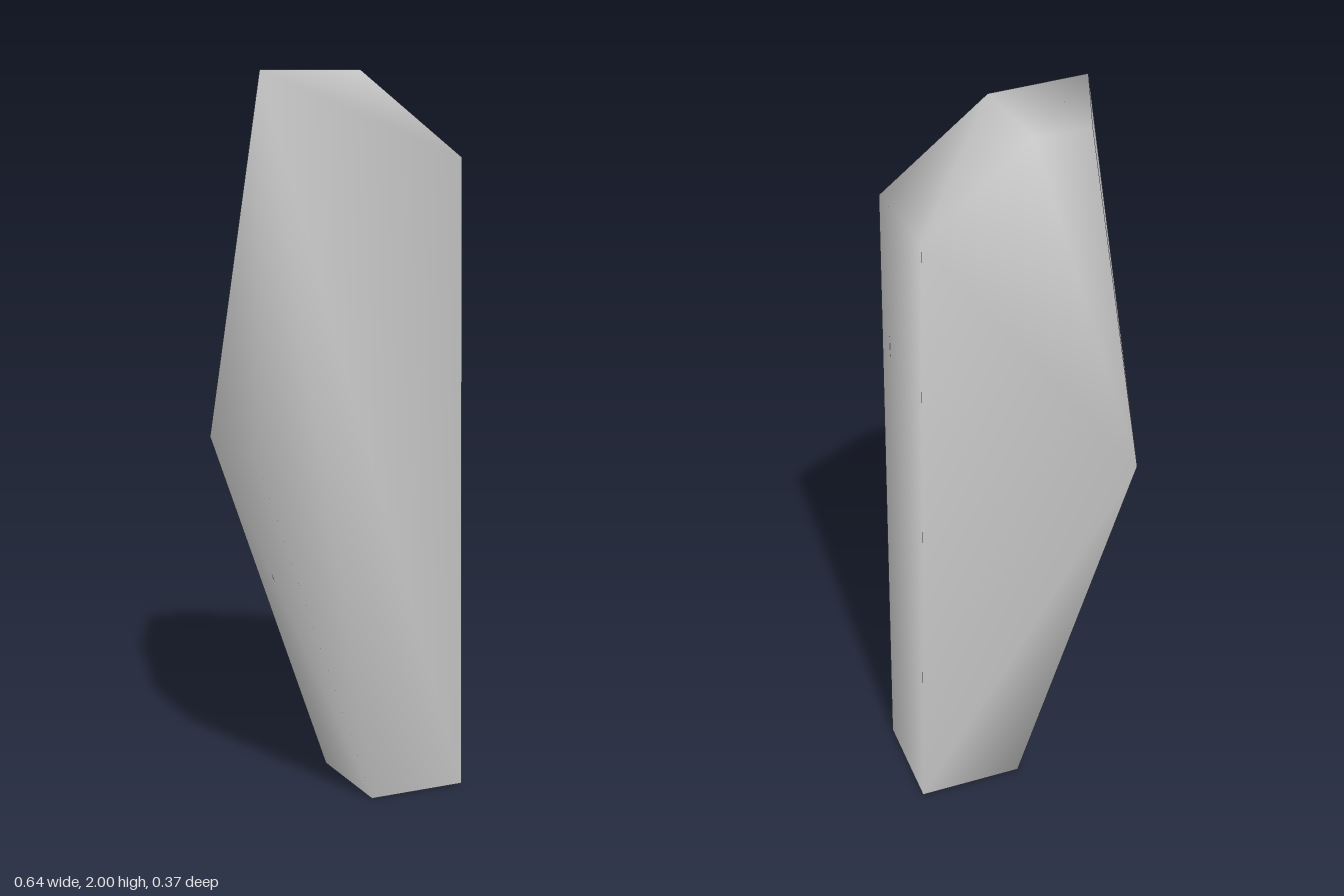
import * as THREE from 'three';

// Six-sided tapering slab: matching front and back outlines, clockwise seen from the front
const front = [
  [-0.31, 2, 0.18], [-0.015, 2, 0.145], [0.285, 1.77, 0.145],
  [0.307, 0, 0.145], [0.025, 0, 0.145], [-0.315, 1, 0.145],
];
const back = [
  [-0.17, 2, -0.163], [-0.015, 2, -0.163], [0.28, 1.77, -0.163],
  [0.318, 0, -0.163], [0.02, 0, -0.163], [-0.32, 1, -0.185],
];

function slabGeometry() {
  const n = front.length;
  const index = [];
  // Front fans out from its raised top corner, back from its raised side corner
  for (let i = 1; i < n - 1; i++) index.push(0, i + 1, i);
  for (let i = 0; i < n - 2; i++) index.push(2 * n - 1, n + i, n + i + 1);
  // Rim between the two outlines; the last panel is split along its outer ridge
  for (let i = 0; i < n; i++) {
    const j = (i + 1) % n;
    if (j === 0) index.push(i, j, n + i, j, n + j, n + i);
    else index.push(i, j, n + j, i, n + j, n + i);
  }
  const geometry = new THREE.BufferGeometry();
  geometry.setAttribute('position', new THREE.Float32BufferAttribute([...front, ...back].flat(), 3));
  geometry.setIndex(index);
  geometry.computeVertexNormals(); // shared corners give the soft shading
  return geometry;
}

export function createModel() {
  const group = new THREE.Group();
  group.name = 'stoneShard';
  const slab = new THREE.Mesh(slabGeometry(), new THREE.MeshStandardMaterial({ color: 0xcccccc }));
  slab.name = 'slab';
  group.add(slab);
  return group;
}
